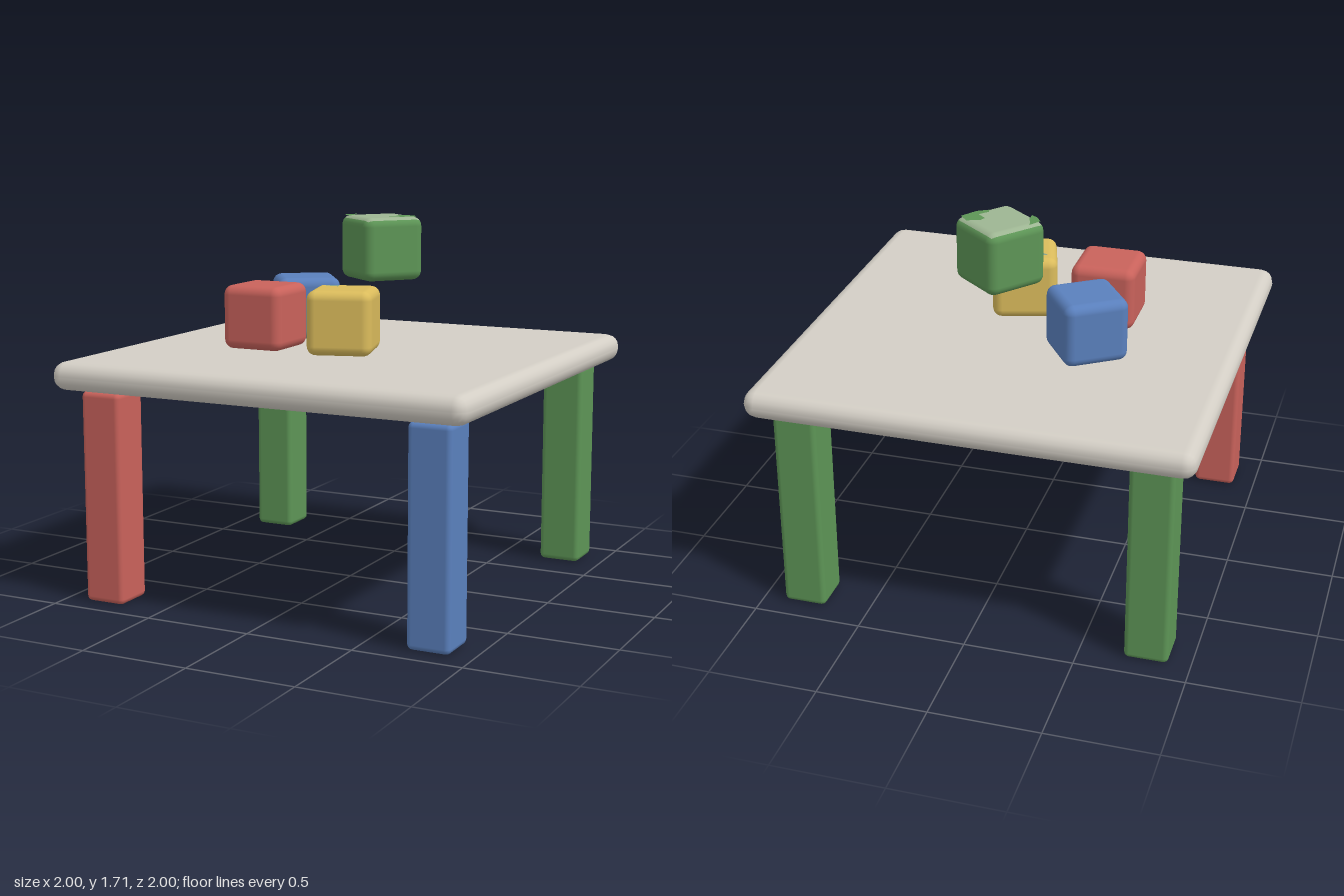
import * as THREE from 'three';
import { RoundedBoxGeometry } from 'three/addons/geometries/RoundedBoxGeometry.js';

const material = (name, color) => {
  const m = new THREE.MeshStandardMaterial({ color });
  m.name = name;
  return m;
};

export function createModel() {
  const model = new THREE.Group();
  model.name = 'tableWithBlocks';

  const stone = material('warm grey', 0xd3cec5);
  const red = material('red', 0xc9625b);
  const blue = material('blue', 0x5a80bd);
  const green = material('green', 0x5d9556);
  const yellow = material('yellow', 0xdbbc5c);
  const paleGreen = material('pale green', 0x9db592);
  const dustyTeal = material('dusty teal', 0x86a18c);

  const add = (name, geometry, mat, x, y, z, turn = 0) => {
    const mesh = new THREE.Mesh(geometry, mat);
    mesh.name = name;
    mesh.position.set(x, y, z);
    mesh.rotation.y = turn;
    model.add(mesh);
    return mesh;
  };

  // Flat painted patch from a short outline
  const patch = (points) =>
    new THREE.ShapeGeometry(new THREE.Shape(points.map(([a, b]) => new THREE.Vector2(a, b))));
  // Patch lying flat, outline given as [x, z]
  const topPatch = (points) => patch(points.map(([x, z]) => [x, -z])).rotateX(-Math.PI / 2);

  // Table top with softly rounded rim
  add('tableTop', new RoundedBoxGeometry(2, 0.13, 2, 2, 0.062), stone, 0, 1.043, 0);

  // Four legs, just short of the table top
  const legGeometry = new RoundedBoxGeometry(0.2, 0.97, 0.2, 2, 0.025);
  add('frontRightLeg', legGeometry, red, -0.8, 0.485, 0.8);
  add('frontLeftLeg', legGeometry, blue, 0.8, 0.485, 0.8);
  add('backRightLeg', legGeometry, green, -0.8, 0.485, -0.8);
  add('backLeftLeg', legGeometry, green, 0.8, 0.485, -0.8);

  // Toy blocks; the green one sits a level higher
  const blockGeometry = new RoundedBoxGeometry(0.3, 0.295, 0.3, 3, 0.043);
  add('redBlock', blockGeometry, red, -0.34, 1.262, 0.2);
  add('blueBlock', blockGeometry, blue, -0.337, 1.262, -0.2, 0.6);
  const yellowBlock = add('yellowBlock', blockGeometry, yellow, 0.065, 1.262, 0.2, 0.285);
  add('greenBlock', blockGeometry, [green, green, paleGreen, green, green, green],
    0.065, 1.562, -0.2, -0.68);

  // Green patches left at two corners of the pale top
  add('greenBlockRightPatch', topPatch([[0.14, -0.235], [0.2, -0.26], [0.24, -0.215],
    [0.19, -0.14], [0.14, -0.11], [0.135, -0.135], [0.17, -0.175], [0.13, -0.21]]),
  green, 0, 1.7115, 0);
  add('greenBlockLeftPatch', topPatch([[-0.115, -0.18], [-0.08, -0.235], [-0.075, -0.2],
    [-0.06, -0.165], [-0.06, -0.12], [-0.09, -0.14]]), green, 0, 1.7115, 0);

  // Dusty patches on the top and right side of the yellow block
  add('yellowBlockTopPatch', topPatch([[-0.06, 0.15], [-0.01, 0.12], [0.01, 0.13],
    [0.02, 0.17], [-0.03, 0.165]]), dustyTeal, 0, 1.4115, 0);
  const side = new THREE.Mesh(
    patch([[-0.12, 0.03], [-0.03, 0.01], [0.05, -0.05], [0.11, -0.12], [-0.12, -0.12]])
      .rotateY(-Math.PI / 2), dustyTeal);
  side.name = 'yellowBlockSidePatch';
  side.position.x = -0.152;
  yellowBlock.add(side);

  return model;
}
